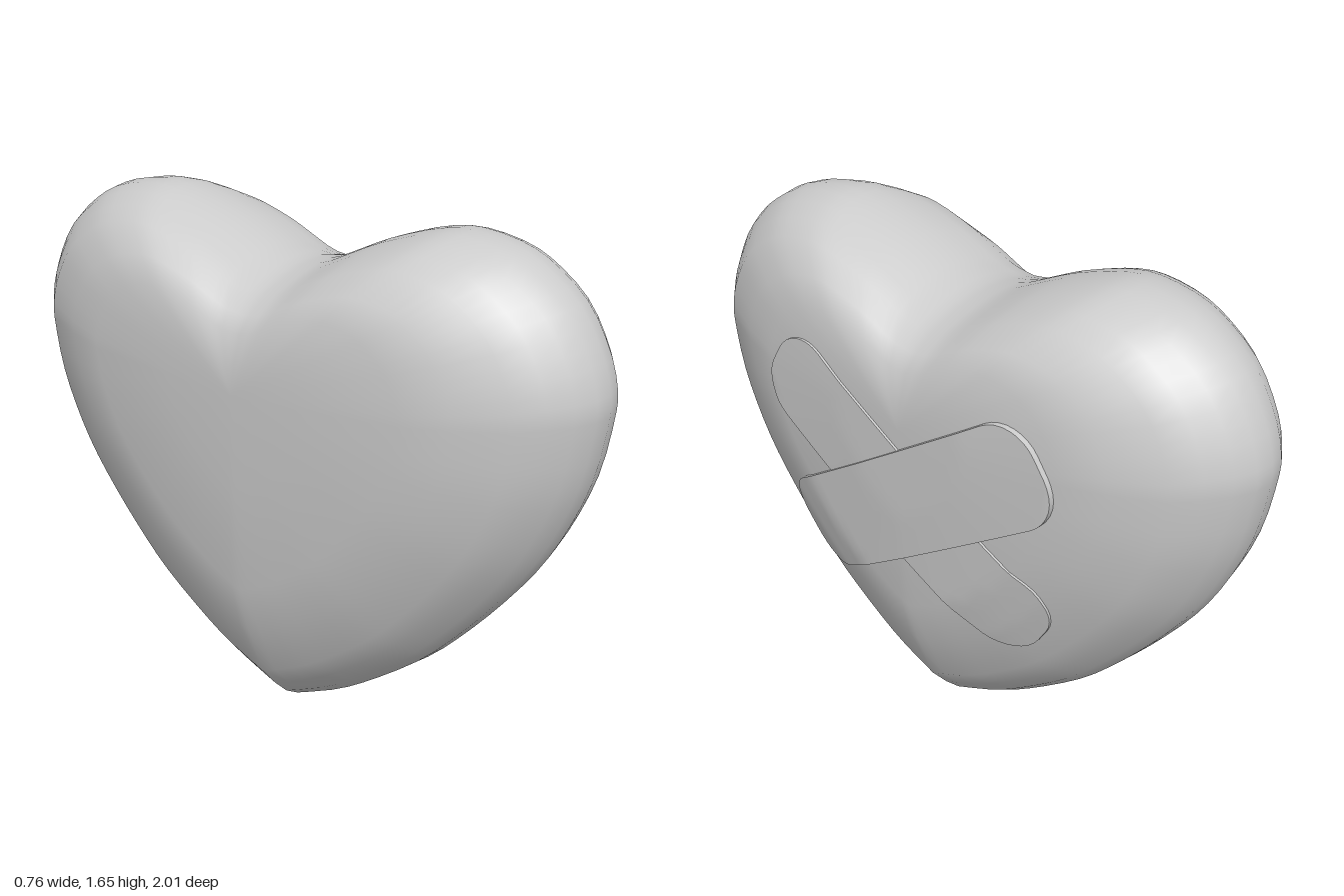
import * as THREE from 'three';
import { mergeVertices, toCreasedNormals } from 'three/addons/utils/BufferGeometryUtils.js';

const CENTRE_Y = 1.155; // point the heart outline shrinks towards
const MID_X = -0.01; // middle plane of the heart

// Half outline of the heart as (z, y), from the notch to the tip
const half = new THREE.SplineCurve([
  [0, 1.483], [0.1, 1.5], [0.2, 1.545], [0.3, 1.59], [0.45, 1.638], [0.56, 1.65], [0.7, 1.625],
  [0.8, 1.575], [0.9, 1.49], [0.97, 1.37], [1, 1.27], [1, 1.19], [0.97, 1.02], [0.91, 0.86],
  [0.83, 0.71], [0.72, 0.56], [0.6, 0.42], [0.477, 0.296], [0.317, 0.173], [0.17, 0.078], [0, 0],
].map(([z, y]) => new THREE.Vector2(z, y))).getPoints(48);
const outline = [...half, ...half.slice(0, -1).reverse().map((p) => new THREE.Vector2(-p.x, p.y))];

// Rounding of the rim: outline scale and distance from the middle plane
const rounding = [[1, 0], [0.99, 0.06], [0.957, 0.12], [0.905, 0.18], [0.84, 0.243],
  [0.69, 0.307], [0.55, 0.348], [0.25, 0.368], [0, 0.37]];

// Thickness of the heart above a point (z, y)
function heartDepth(z, y) {
  const dy = y - CENTRE_Y;
  let scale = 0;
  for (let i = 0; i + 1 < outline.length; i++) {
    const a = outline[i], b = outline[i + 1];
    const ez = b.x - a.x, ey = b.y - a.y;
    const cross = a.x * ey - (a.y - CENTRE_Y) * ez;
    scale = Math.max(scale, (z * ey - dy * ez) / cross * (inWedge(a, b, z, dy) ? 1 : 0));
  }
  for (let i = 0; i + 1 < rounding.length; i++) {
    const [s0, d0] = rounding[i], [s1, d1] = rounding[i + 1];
    if (scale <= s0 && scale >= s1) return d0 + (d1 - d0) * (s0 - scale) / (s0 - s1);
  }
  return 0;
}

// Whether the direction (z, dy) from the centre passes between a and b
function inWedge(a, b, z, dy) {
  const ay = a.y - CENTRE_Y, by = b.y - CENTRE_Y;
  const ca = a.x * dy - ay * z, cb = z * by - dy * b.x;
  return ca >= -1e-9 && cb >= -1e-9 && a.x * z + ay * dy + b.x * z + by * dy > 0
    || ca <= 1e-9 && cb <= 1e-9 && a.x * z + ay * dy + b.x * z + by * dy > 0;
}

// Skin over rows of points
function skin(rows) {
  const n = rows[0].length, index = [];
  for (let i = 0; i + 1 < rows.length; i++) {
    for (let j = 0; j + 1 < n; j++) {
      const a = i * n + j, b = a + 1, c = a + n, d = c + 1;
      index.push(a, b, c, b, d, c);
    }
  }
  const geo = new THREE.BufferGeometry();
  geo.setAttribute('position', new THREE.Float32BufferAttribute(rows.flat(2), 3));
  geo.setIndex(index);
  const merged = mergeVertices(geo, 1e-5);
  merged.computeVertexNormals();
  return merged;
}

function heartGeometry() {
  const back = rounding.map(([s, d]) => [s, -d]).reverse();
  return skin([...back, ...rounding.slice(1)].map(([s, d]) =>
    outline.map((p) => [MID_X + d, CENTRE_Y + (p.y - CENTRE_Y) * s, p.x * s])));
}

// Rounded strip that follows the curved side; slope is +1 or -1
function plasterGeometry(slope, start, end, lift) {
  const W = 0.16, R = 0.13, tilt = 0.567, sink = -0.012;
  const cos = Math.cos(tilt), sin = slope * Math.sin(tilt);
  const at = (u, v, h) => {
    const z = u * cos - v * sin, y = 0.9 + v * cos + u * sin;
    return [MID_X + heartDepth(z, y) + h, y, z];
  };
  // Stations along the strip, with the corner arcs at both ends
  const arc = [...Array(9).keys()].map((i) => i / 8 * Math.PI / 2);
  const stations = [
    ...arc.map((t) => [start + R * (1 - Math.cos(t)), W - R + R * Math.sin(t)]),
    ...[...Array(23).keys()].map((i) => [start + R + (end - start - 2 * R) * (i + 1) / 24, W]),
    ...arc.map((t) => [end - R * (1 - Math.cos(t)), W - R + R * Math.sin(t)]).reverse(),
  ];
  const across = [...Array(13).keys()].map((i) => i / 6 - 1);
  const section = ([u, w], top) => [at(u, -w, sink),
    ...across.map((v) => at(u, v * w, top)), at(u, w, sink)];
  const rows = stations.map((s) => section(s, lift));
  rows.unshift(section(stations[0], sink));
  rows.push(section(stations[stations.length - 1], sink));
  return toCreasedNormals(skin(rows), 0.7);
}

export function createModel() {
  const group = new THREE.Group();
  group.name = 'bandagedHeart';
  const material = new THREE.MeshStandardMaterial({ color: 0xcccccc });
  const add = (name, geometry) => {
    const mesh = new THREE.Mesh(geometry, material);
    mesh.name = name;
    group.add(mesh);
  };
  add('heart', heartGeometry());
  // Crossed plasters on the left side
  add('lowerPlaster', plasterGeometry(1, -0.56, 0.61, 0.008));
  add('upperPlaster', plasterGeometry(-1, -0.61, 0.56, 0.018));
  return group;
}
